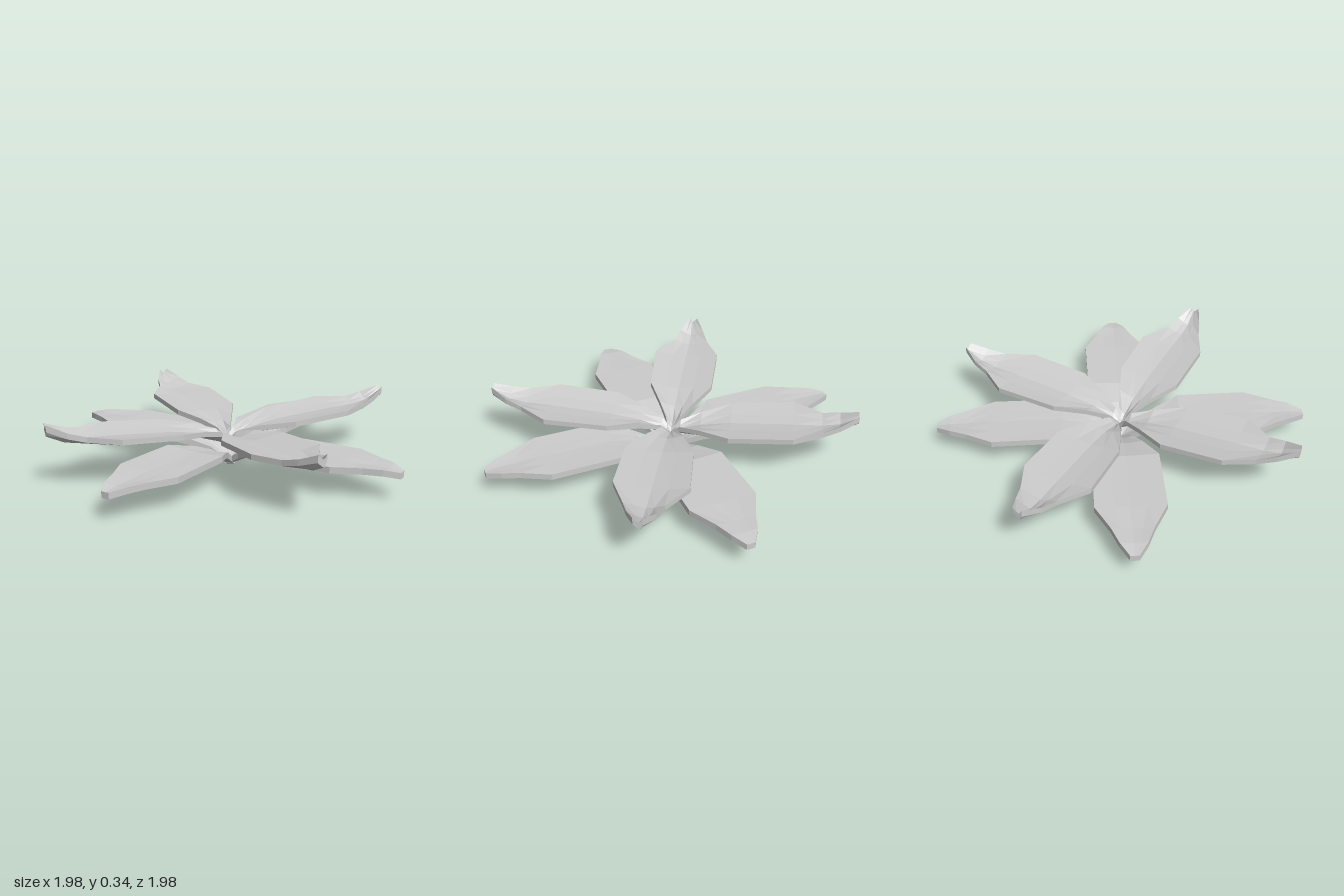
import * as THREE from 'three';

const material = new THREE.MeshStandardMaterial({ color: 0xcccccc, flatShading: true });

// Leaf stations along +x: [distance, width to -z, width to +z, top height at edge, top height at midrib, thickness]
const lowerLeaf = [
  [0.00, 0.030, 0.030, 0.035, 0.030, 0.030],
  [0.09, 0.055, 0.055, 0.095, 0.080, 0.035],
  [0.18, 0.100, 0.100, 0.130, 0.120, 0.033],
  [0.32, 0.172, 0.172, 0.160, 0.152, 0.032],
  [0.69, 0.178, 0.172, 0.160, 0.155, 0.032],
  [0.83, 0.105, 0.100, 0.160, 0.150, 0.032],
  [0.92, 0.068, 0.065, 0.158, 0.150, 0.032],
  [0.99, 0.022, 0.022, 0.145, 0.143, 0.032],
];
const upperLeaf = [
  [0.00, 0.015, 0.015, 0.140, 0.125, 0.025],
  [0.05, 0.035, 0.040, 0.190, 0.155, 0.028],
  [0.16, 0.085, 0.100, 0.218, 0.190, 0.028],
  [0.32, 0.160, 0.185, 0.240, 0.215, 0.028],
  [0.65, 0.182, 0.185, 0.264, 0.238, 0.028],
  [0.80, 0.085, 0.110, 0.270, 0.245, 0.028],
  [0.89, 0.062, 0.075, 0.295, 0.262, 0.030],
  [0.98, 0.016, 0.030, 0.335, 0.310, 0.036],
];

// Closed faceted shell: each station gives a ring of five top and five bottom points
function leafGeometry(stations) {
  const across = [-1, -0.45, 0, 0.45, 1];
  const n = across.length * 2;
  const positions = [];
  const index = [];
  for (const [s, left, right, edge, mid, thick] of stations) {
    const top = across.map((a) => [
      s, mid + (edge - mid) * Math.pow(Math.abs(a), 1.3), a < 0 ? a * left : a * right,
    ]);
    const bottom = top.map(([x, y, z]) => [x, y - thick, z]).reverse();
    for (const p of [...top, ...bottom]) positions.push(...p);
  }
  for (let i = 0; i < stations.length - 1; i++) {
    for (let j = 0; j < n; j++) {
      const a = i * n + j;
      const b = i * n + ((j + 1) % n);
      index.push(a, b, a + n, b, b + n, a + n);
    }
  }
  // End faces at the base and the tip
  const last = (stations.length - 1) * n;
  for (let j = 0; j < across.length - 1; j++) {
    const k = n - 1 - j;
    index.push(j, k, j + 1, j + 1, k, k - 1);
    index.push(last + j, last + j + 1, last + k, last + j + 1, last + k - 1, last + k);
  }
  const geometry = new THREE.BufferGeometry();
  geometry.setAttribute('position', new THREE.Float32BufferAttribute(positions, 3));
  geometry.setIndex(index);
  const faceted = geometry.toNonIndexed();
  faceted.computeVertexNormals();
  return faceted;
}

// Four copies of one leaf, a quarter turn apart
function whorl(name, stations, startAngle, x, z) {
  const group = new THREE.Group();
  group.name = name + 's';
  group.position.set(x, 0, z);
  const geometry = leafGeometry(stations);
  for (let i = 0; i < 4; i++) {
    const leaf = new THREE.Mesh(geometry, material);
    leaf.name = name + (i + 1);
    leaf.rotation.y = startAngle + (i * Math.PI) / 2;
    group.add(leaf);
  }
  return group;
}

export function createModel() {
  const model = new THREE.Group();
  model.name = 'leafRosette';
  model.add(whorl('lowerLeaf', lowerLeaf, 0.012, -0.005, -0.012));
  model.add(whorl('upperLeaf', upperLeaf, Math.PI / 3, -0.025, -0.02));
  return model;
}
